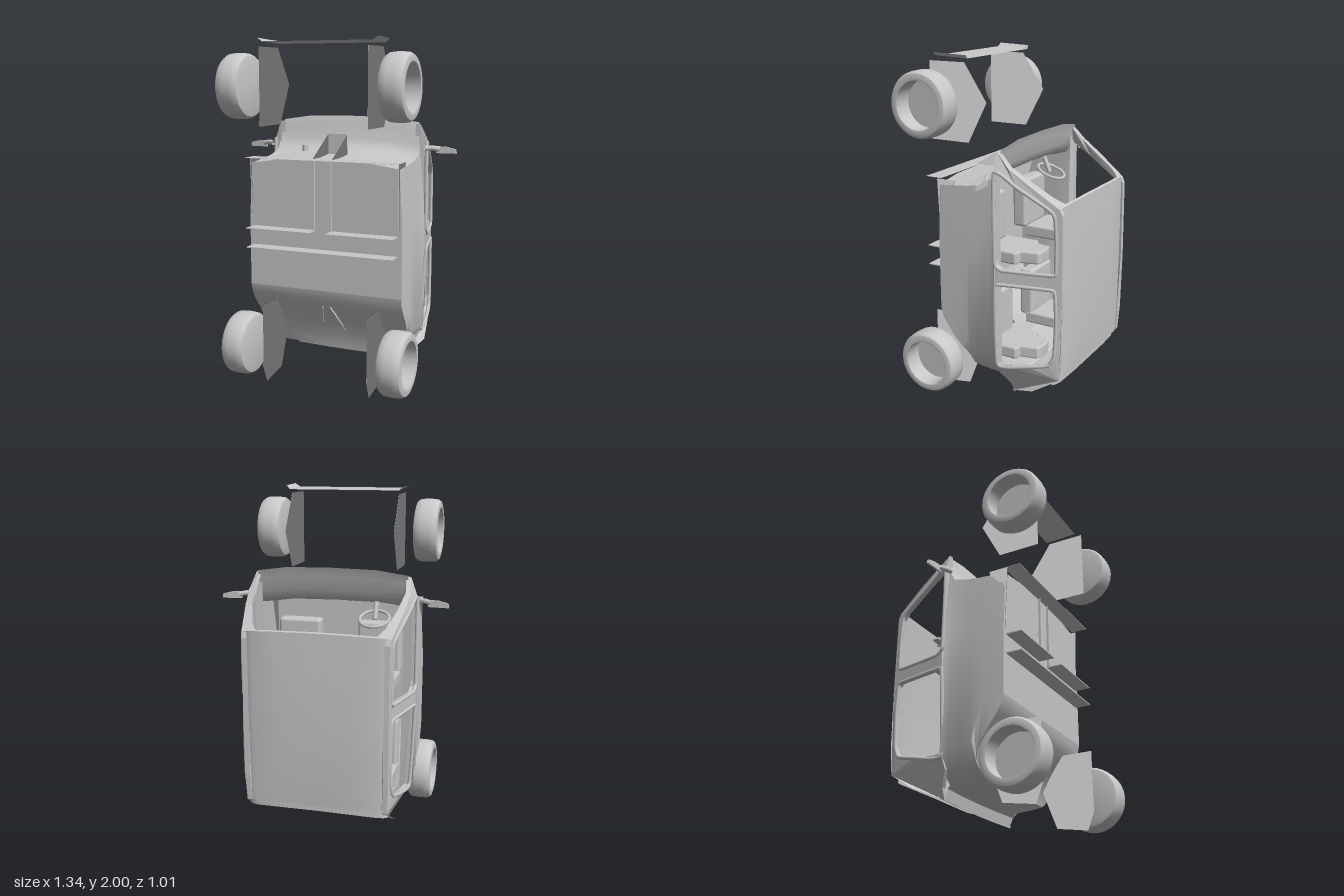
import * as THREE from 'three';
import { mergeVertices, toCreasedNormals } from 'three/addons/utils/BufferGeometryUtils.js';
import { RoundedBoxGeometry } from 'three/addons/geometries/RoundedBoxGeometry.js';

const grey = new THREE.MeshStandardMaterial({ color: 0xc8c8c8, side: THREE.DoubleSide });
grey.name = 'light grey';
const lerp = THREE.MathUtils.lerp;

export function createModel() {
  const model = new THREE.Group();

  function add(name, geo, x = 0, y = 0, z = 0, parent = model) {
    const mesh = new THREE.Mesh(geo, grey);
    mesh.name = name;
    mesh.position.set(x, y, z);
    parent.add(mesh);
    return mesh;
  }
  const box = (name, x0, x1, y0, y1, z0, z1) =>
    add(name, new THREE.BoxGeometry(x1 - x0, y1 - y0, z1 - z0), (x0 + x1) / 2, (y0 + y1) / 2, (z0 + z1) / 2);

  // Grid surface through rows of points
  function loft(rows, crease = 0.6) {
    const n = rows[0].length, index = [];
    for (let i = 0; i < rows.length - 1; i++) for (let j = 0; j < n - 1; j++) {
      const a = i * n + j, b = a + n;
      index.push(a, b, a + 1, b, b + 1, a + 1);
    }
    const geo = new THREE.BufferGeometry();
    geo.setAttribute('position', new THREE.Float32BufferAttribute(rows.flat(2), 3));
    geo.setIndex(index);
    return toCreasedNormals(mergeVertices(geo), crease);
  }
  const shapeOf = pts => new THREE.Shape(pts.map(p => new THREE.Vector2(p[0], p[1])));

  // Flat plate in the side plane: points are [z, y], thickness runs along -x
  function sidePlate(pts, depth, holes = []) {
    const shape = shapeOf(pts);
    holes.forEach(h => shape.holes.push(shapeOf(h)));
    const geo = new THREE.ExtrudeGeometry(shape, { depth, bevelEnabled: false });
    const p = geo.attributes.position;
    for (let i = 0; i < p.count; i++) p.setXYZ(i, -p.getZ(i), p.getY(i), p.getX(i));
    return geo;
  }

  // Lower body tub, rings of [z, rear y, front y, side x, front x, corner squareness]
  const levels = [
    [-0.145, 0.14, 1.553, 0.49, 0.44, 0],
    [-0.125, 0.14, 1.5, 0.49, 0.445, 0],
    [-0.11, 0.142, 1.42, 0.485, 0.45, 0],
    [-0.08, 0.145, 1.37, 0.478, 0.455, 0],
    [0, 0.15, 1.345, 0.475, 0.458, 0],
    [0.06, 0.165, 1.335, 0.475, 0.46, 0.1],
    [0.075, 0.25, 1.333, 0.475, 0.46, 0.5],
    [0.12, 0.335, 1.33, 0.475, 0.46, 0.85],
    [0.17, 0.41, 1.325, 0.475, 0.46, 1],
    [0.215, 0.47, 1.32, 0.475, 0.458, 1],
    [0.24, 0.515, 1.32, 0.475, 0.457, 1],
    [0.25, 0.56, 1.32, 0.475, 0.455, 1],
  ];
  const ring = ([z, yr, yf, xs, xf, c]) => {
    const side = Math.max(z, -0.12);
    const half = [
      [0, yr, z], [lerp(0.33, xs, c), yr + 0.01 * (1 - c), z], [lerp(0.41, xs, c), yr + 0.07 * (1 - c), z],
      [xs, yr + 0.17, side], [xs, 0.97, side], [lerp(xs, xf, 0.9), Math.min(yf - 0.03, 1.4), side],
      [xf, yf - 0.03, z], [xf * 0.6, yf - 0.005, z], [0, yf, z],
    ];
    return [...half, ...half.slice(0, -1).reverse().map(([x, y, d]) => [-x, y, d])];
  };
  add('lowerBody', loft(levels.map(ring), 0.8));
  add('floor', new THREE.ShapeGeometry(shapeOf(ring(levels[levels.length - 1]).slice(0, -1))), 0, 0, 0.25);

  // Side frames with two window openings, leaning in towards roof and tail
  const outline = [
    [-0.12, 1.515], [-0.2, 1.43], [-0.31, 1.355], [-0.48, 1.235], [-0.495, 1.2],
    [-0.5, 0.75], [-0.495, 0.4], [-0.485, 0.245], [-0.33, 0.15], [-0.17, 0.08], [-0.165, 0.14], [-0.12, 0.22],
  ];
  const frontWindow = [
    [-0.125, 1.405], [-0.25, 1.335], [-0.43, 1.225], [-0.455, 1.19], [-0.465, 1.05],
    [-0.463, 0.89], [-0.45, 0.865], [-0.17, 0.863], [-0.135, 0.885], [-0.125, 0.92],
  ];
  const rearWindow = [
    [-0.125, 0.755], [-0.145, 0.78], [-0.44, 0.782], [-0.46, 0.765], [-0.468, 0.6],
    [-0.46, 0.4], [-0.43, 0.335], [-0.31, 0.305], [-0.125, 0.285],
  ];
  const sideX = (z, y) => lerp(0.495, 0.42, Math.max(0, -z - 0.13) / 0.345)
    - Math.max(0, 0.33 - y) * Math.max(0.1, 0.52 + Math.min(0, z + 0.17) * 4)
    - Math.max(0, y - 1.4) * 0.35;
  for (const s of [1, -1]) {
    const geo = sidePlate(outline, 0.03, [frontWindow, rearWindow]);
    const p = geo.attributes.position;
    for (let i = 0; i < p.count; i++) p.setX(i, s * (p.getX(i) + sideX(p.getZ(i), p.getY(i))));
    if (s < 0) for (let i = 0; i < p.count; i += 3) {
      const a = [p.getX(i), p.getY(i), p.getZ(i)];
      p.setXYZ(i, p.getX(i + 1), p.getY(i + 1), p.getZ(i + 1));
      p.setXYZ(i + 1, ...a);
    }
    geo.computeVertexNormals();
    add('windowFrame', geo);
    // Raised rounded rim round each opening
    for (const hole of [frontWindow, rearWindow]) {
      const path = new THREE.CatmullRomCurve3(
        hole.map(([z, y]) => new THREE.Vector3(s * (sideX(z, y) - 0.002), y, z)), true, 'catmullrom', 0.2);
      add('windowRim', new THREE.TubeGeometry(path, 80, 0.011, 8, true));
    }
    // Inner edge of the windscreen pillar, widening into the header corner
    const pillar = [[-0.14, 1.5, 0.44], [-0.2, 1.43, 0.438], [-0.31, 1.355, 0.415], [-0.42, 1.278, 0.378], [-0.48, 1.236, 0.335]];
    add('windscreenPillar', loft([
      pillar.map(([z, y]) => [s * (sideX(z, y) - 0.005), y, z]),
      pillar.map(([z, y, x]) => [s * x, y + 0.004, z - 0.006]),
    ]));
  }

  // Crowned roof panel with headers above windscreen and tailgate
  const across = [-1, -0.95, -0.86, -0.5, 0, 0.5, 0.86, 0.95, 1];
  const crown = [-0.465, -0.482, -0.493, -0.503, -0.506, -0.503, -0.493, -0.482, -0.465];
  const roofRows = [[0.245, 0.02], [0.4, 0.006], [0.75, 0], [1.05, 0.005], [1.235, 0.014]].map(([y, drop]) =>
    across.map((u, i) => [u * (sideX(-0.475, y) + 0.002), y + (y > 1.2 ? 0.012 * (1 - u * u) : 0), crown[i] + drop * (1 - u * u)]));
  add('roof', loft(roofRows, 0.8));
  const header = (name, y, dy, dz) => {
    const row = (oy, oz) => across.map((u, i) => [u * (sideX(-0.475, y) - 0.005), y + oy + 0.012 * (1 - u * u), crown[i] + 0.012 + oz]);
    add(name, loft([row(0, 0), row(dy, dz), row(dy - 0.03, dz)]));
  };
  header('windscreenHeader', 1.235, 0.005, 0.014);
  header('tailgateHeader', 0.24, -0.005, 0.014);

  // Tail lip and the lower rim of the rear window
  const lipX = [-1, -0.5, 0, 0.5, 1];
  const lipRow = (w, y, z) => lipX.map(u => [u * w, y + 0.008 * u * u, z]);
  add('tailLip', loft([lipRow(0.37, 0.143, -0.13), lipRow(0.35, 0.132, -0.155), lipRow(0.365, 0.07, -0.168),
    lipRow(0.37, 0.085, -0.2), lipRow(0.36, 0.11, -0.2)]));

  // Wheels: tyre with a closed inner face and a recessed outer face
  const tyre = [[0, -0.072], [0.15, -0.072], [0.172, -0.066], [0.183, -0.05], [0.186, -0.02], [0.186, 0.02], [0.183, 0.05],
    [0.172, 0.066], [0.15, 0.072], [0.135, 0.07], [0.133, -0.035], [0, -0.035]]
    .map(p => new THREE.Vector2(p[0], p[1]));
  const tyreGeo = toCreasedNormals(new THREE.LatheGeometry(tyre, 40), 0.6);
  const frontArch = [[0.39, 1.95], [0.16, 1.95], [0.02, 1.74], [0.14, 1.51], [0.39, 1.51]];
  const rearArch = [[0.39, 0.46], [0.2, 0.46], [0.07, 0.26], [0.16, 0.03], [0.35, 0], [0.39, 0.1]];
  for (const s of [1, -1]) {
    for (const y of [1.732, 0.213]) {
      add('wheel', tyreGeo, s * 0.48, y, 0.32).rotation.z = -s * Math.PI / 2;
    }
    add('frontWheelPlate', sidePlate(frontArch, 0.001), s * 0.324);
    add('rearWheelPlate', sidePlate(rearArch, 0.001), s * 0.324);
  }

  // Thin nose panel with turned-up ends
  const noseRow = (z, y, w) => [[-w, y + 0.02, z], [-0.33, y, z], [0.33, y, z], [w, y + 0.02, z]];
  add('nosePanel', loft([noseRow(0.34, 1.98, 0.36), noseRow(0.16, 1.973, 0.36), noseRow(0.135, 1.972, 0.345)], 0.1));

  // Underside ribs, flange and brackets
  for (const s of [1, -1]) {
    box('upperRib', s > 0 ? 0.05 : -0.45, s > 0 ? 0.45 : -0.05, 0.911, 0.917, 0.25, 0.345);
    box('tunnelRib', s * 0.052 - 0.001, s * 0.052 + 0.001, 0.91, 1.32, 0.25, 0.264);
    add('flangeGusset', sidePlate([[0.265, 1.32], [0.15, 1.32], [0.25, 0.95]], 0.004), s * 0.458);
    const fin = box('rearFin', -0.002, 0.002, -0.11, 0.11, -0.01, 0.01);
    fin.position.set(s * 0.05, 0.37, 0.143);
    fin.rotation.set(0.62, 0, s * 0.24);
    add('tunnelCheek', sidePlate([[0.262, 1.326], [0.04, 1.456], [0.04, 1.326]], 0.001), s * 0.06);
  }
  box('lowerRib', -0.45, 0.45, 0.798, 0.804, 0.25, 0.345);
  box('frontFlange', -0.455, 0.455, 1.324, 1.326, 0.24, 0.34);
  box('tunnelBackPlate', -0.06, 0.06, 1.326, 1.456, 0.039, 0.041);

  // Seats: shaped backrest with headrest, and cushion
  const backHalf = [[0.125, -0.01], [0.127, 0.18], [0.12, 0.188], [0.085, 0.192], [0.064, 0.29], [0.035, 0.3]];
  const backShape = shapeOf([...backHalf, ...backHalf.slice().reverse().map(([x, y]) => [-x, y])]);
  const backGeo = new THREE.ExtrudeGeometry(backShape,
    { depth: 0.05, bevelEnabled: true, bevelSize: 0.008, bevelThickness: 0.01, bevelSegments: 2 });
  for (const x of [0.245, -0.245]) {
    for (const [y, z] of [[0.865, 0.05], [0.29, 0.0]]) {
      add('seatBack', backGeo, x, y + 0.01, 0).rotation.x = -Math.PI / 2;
      add('seatCushion', new RoundedBoxGeometry(0.26, 0.3, 0.09, 2, 0.02), x, y + 0.2, z + 0.02);
    }
  }

  // Steering wheel and column
  add('steeringWheel', new THREE.TorusGeometry(0.085, 0.009, 8, 28), -0.24, 1.26, -0.085).rotation.x = Math.PI / 2 - 0.4;
  const column = add('steeringColumn', new THREE.CylinderGeometry(0.014, 0.014, 0.12, 10), -0.24, 1.31, -0.05);
  column.rotation.x = 0.4;
  add('columnEnd', new THREE.CylinderGeometry(0.016, 0.016, 0.05, 12), -0.24, 1.355, -0.018);

  // Interior mirror
  add('interiorMirror', new RoundedBoxGeometry(0.17, 0.025, 0.052, 3, 0.012), 0, 1.21, -0.45);
  box('mirrorStem', -0.006, 0.006, 1.2, 1.24, -0.495, -0.46);

  // Door mirrors on short stalks
  for (const s of [1, -1]) {
    const mirror = new THREE.Group();
    mirror.name = 'doorMirror';
    mirror.scale.x = s;
    const stalk = new THREE.TubeGeometry(new THREE.CatmullRomCurve3([[0.49, 1.378, -0.085], [0.53, 1.38, -0.105],
      [0.57, 1.373, -0.12]].map(p => new THREE.Vector3(...p))), 8, 0.015, 8);
    add('mirrorStalk', stalk, 0, 0, 0, mirror);
    const blade = shapeOf([[0, -0.02], [0.12, -0.02], [0.115, 0.005], [0.06, 0.018], [0.01, 0.02]]);
    add('mirrorBlade', new THREE.ExtrudeGeometry(blade, { depth: 0.012, bevelEnabled: false }), 0.55, 1.37, -0.125, mirror)
      .rotation.y = 0.08;
    model.add(mirror);
  }
  return model;
}
